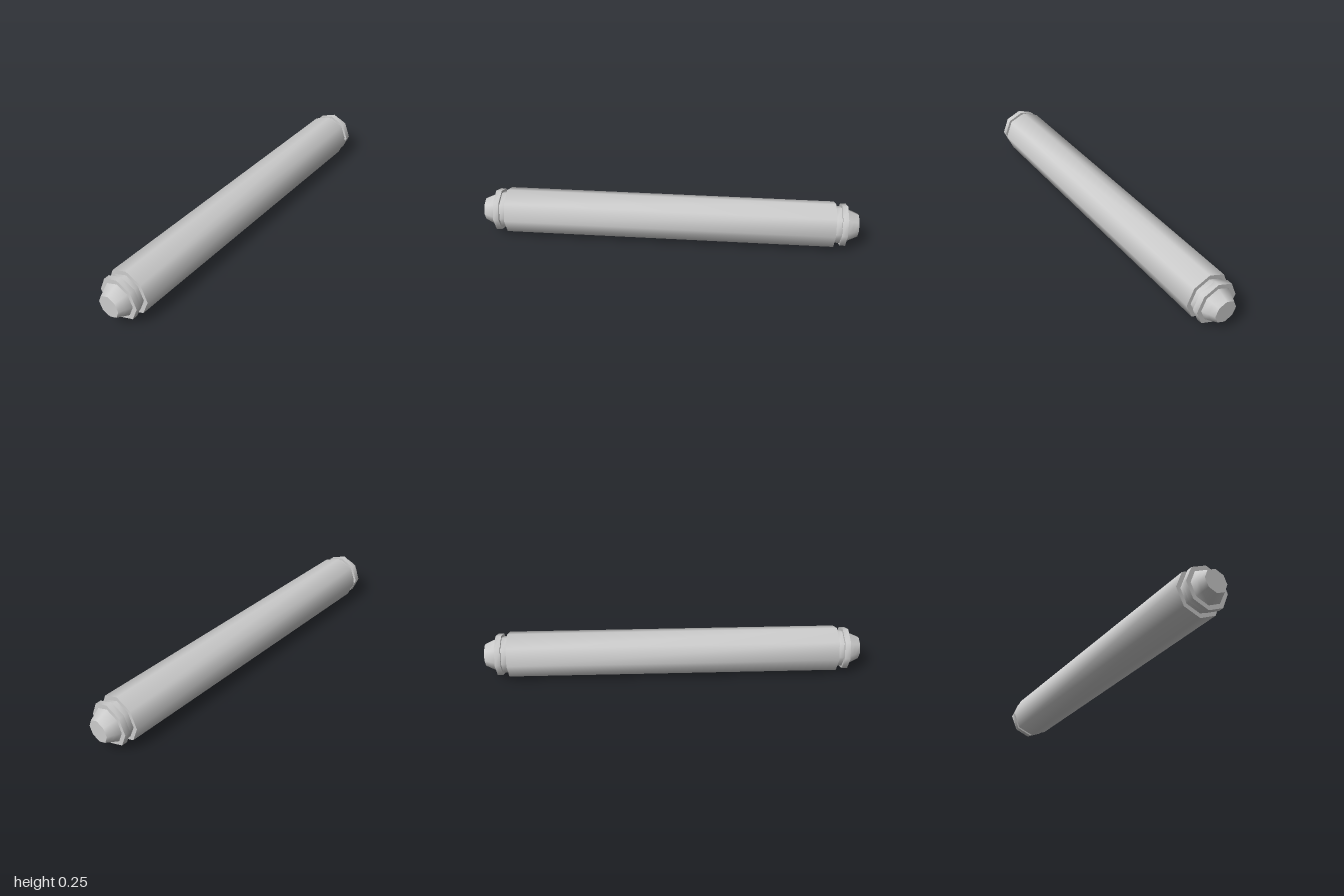
import * as THREE from 'three';
import { toCreasedNormals } from 'three/addons/utils/BufferGeometryUtils.js';

const SIDES = 8;
const AXIS_Y = 0.123;

// Octagonal part turned around the x axis; profile is a list of [x, radius]
function turned(name, profile, material) {
  const points = profile.map(([x, r]) => new THREE.Vector2(r, x));
  const lathe = new THREE.LatheGeometry(points, SIDES);
  lathe.rotateZ(-Math.PI / 2);
  const mesh = new THREE.Mesh(toCreasedNormals(lathe, THREE.MathUtils.degToRad(50)), material);
  mesh.name = name;
  return mesh;
}

// Closed straight section between two x positions
const drum = (x0, x1, r) => [[x0, 0], [x0, r], [x1, r], [x1, 0]];

export function createModel() {
  const group = new THREE.Group();
  group.name = 'roller';
  const material = new THREE.MeshStandardMaterial({ color: 0xcccccc });

  // Long main barrel
  const barrel = turned('barrel', drum(-0.875, 0.875, 0.123), material);
  barrel.position.y = AXIS_Y;
  group.add(barrel);

  // Matching end fittings: neck, flange and tapered tip
  for (const [name, angle] of [['leftEnd', 0], ['rightEnd', Math.PI]]) {
    const end = new THREE.Group();
    end.name = name;
    end.add(
      turned('neck', drum(0.875, 0.907, 0.1), material),
      turned('flange', drum(0.907, 0.937, 0.114), material),
      turned('tip', [[0.937, 0], [0.937, 0.09], [0.968, 0.076], [1, 0.061], [1, 0]], material),
    );
    end.rotation.y = angle;
    end.position.y = AXIS_Y;
    group.add(end);
  }

  return group;
}
